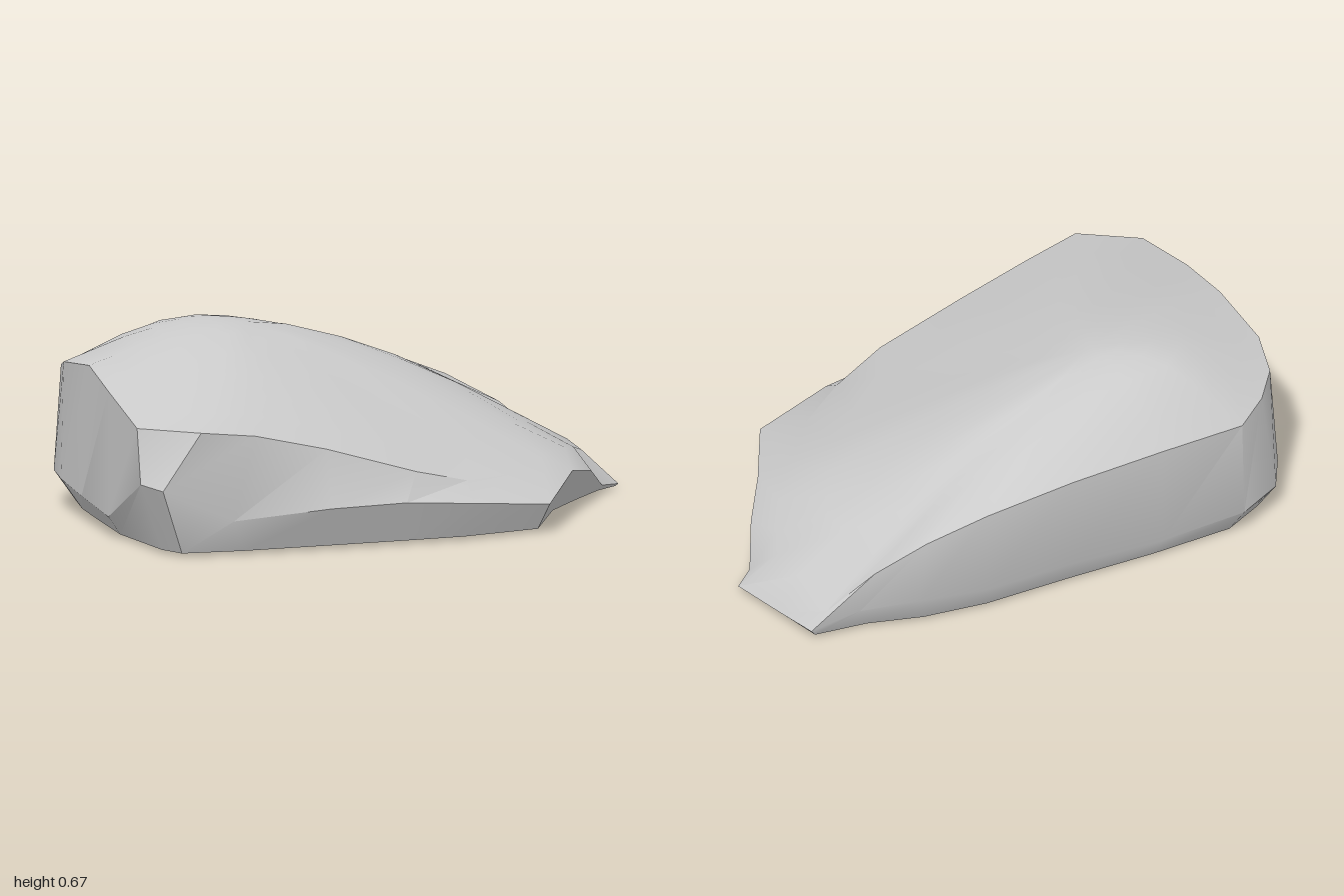
import * as THREE from 'three';
import { toCreasedNormals } from 'three/addons/utils/BufferGeometryUtils.js';

// Widest line of the stone, counterclockwise from the front left corner (x, y, z)
const belt = [
  [-.95, .25, .66], [-.69, .13, .67], [-.33, .155, .68], [-.05, .16, .68], [.2, .14, .665], [.51, .105, .59],
  [.7, .155, .27], [.83, .115, .09], [.92, .03, -.06], [1, .02, -.12], [.96, .03, -.35], [.93, .04, -.52],
  [.76, .1, -.57], [.56, .12, -.645], [.3, .1, -.675], [-.04, .1, -.68], [-.4, .08, -.685], [-.73, .09, -.685],
  [-.9, .1, -.61], [-.97, .12, -.5], [-1, .12, -.33], [-1, .1, -.1], [-1, .08, .2], [-1, .26, .56],
];

// Upper edge of the side walls, fading into the slope on the right
const rim = [
  [-.81, .453, .665], [-.6, .425, .64], [-.33, .36, .63], [0, .26, .63], [.21, .205, .57], [.41, .19, .44],
  [.6, .21, .22], [.74, .2, .06], [.82, .17, -.08], [.88, .14, -.17], [.88, .15, -.33], [.87, .11, -.525],
  [.71, .25, -.585], [.53, .35, -.64], [.3, .41, -.67], [-.04, .445, -.68], [-.4, .455, -.68], [-.73, .45, -.67],
  [-.86, .47, -.58], [-.95, .5, -.48], [-.99, .54, -.33], [-.985, .575, -.06], [-1, .53, .2], [-1, .455, .52],
];

// Height of the domed top halfway between rim and summit
const shoulder = [
  .565, .56, .53, .485, .46, .45, .465, .465, .465, .465, .475, .48,
  .505, .535, .565, .605, .635, .645, .65, .65, .65, .645, .62, .58,
];

const N = belt.length;
const STEPS = 6;
const summit = new THREE.Vector3(-.35, .66, -.25);

function stoneGeometry() {
  const vec = (p) => new THREE.Vector3(...p);
  const beltPts = belt.map(vec);
  const rimPts = rim.map(vec);
  // Underside edge: the belt drawn inward, more so where the belt is higher
  const base = beltPts.map((p) => {
    const k = 1 - 0.6 * Math.min(p.y, 0.16);
    return new THREE.Vector3(p.x * k, 0.012, p.z * k);
  });
  const mid = rimPts.map((p, i) => {
    const m = p.clone().lerp(summit, 0.5);
    m.y = shoulder[i];
    return m;
  });

  // Rings from the underside up to just below the summit
  const rings = [base, beltPts, rimPts];
  const spokes = rimPts.map((p, i) => {
    const o = (i + N / 2) % N;
    return new THREE.CatmullRomCurve3([p, mid[i], summit, mid[o], rimPts[o]]);
  });
  for (let s = 1; s < STEPS; s++) rings.push(spokes.map((c) => c.getPoint(0.5 * s / STEPS)));

  const verts = [];
  const tri = (...pts) => pts.forEach((p) => verts.push(p.x, p.y, p.z));
  const bottom = new THREE.Vector3(0, 0, 0);
  const last = rings[rings.length - 1];
  for (let i = 0; i < N; i++) {
    const j = (i + 1) % N;
    for (let r = 0; r < rings.length - 1; r++) {
      const lo = rings[r], hi = rings[r + 1];
      tri(lo[i], lo[j], hi[j]);
      tri(lo[i], hi[j], hi[i]);
    }
    tri(last[i], last[j], summit);
    tri(bottom, base[j], base[i]);
  }
  const geo = new THREE.BufferGeometry();
  geo.setAttribute('position', new THREE.Float32BufferAttribute(verts, 3));
  return toCreasedNormals(geo, 0.6);
}

export function createModel() {
  const group = new THREE.Group();
  group.name = 'rock';
  const stone = new THREE.Mesh(stoneGeometry(), new THREE.MeshStandardMaterial({ color: 0xcccccc }));
  stone.name = 'stone';
  group.add(stone);
  return group;
}
